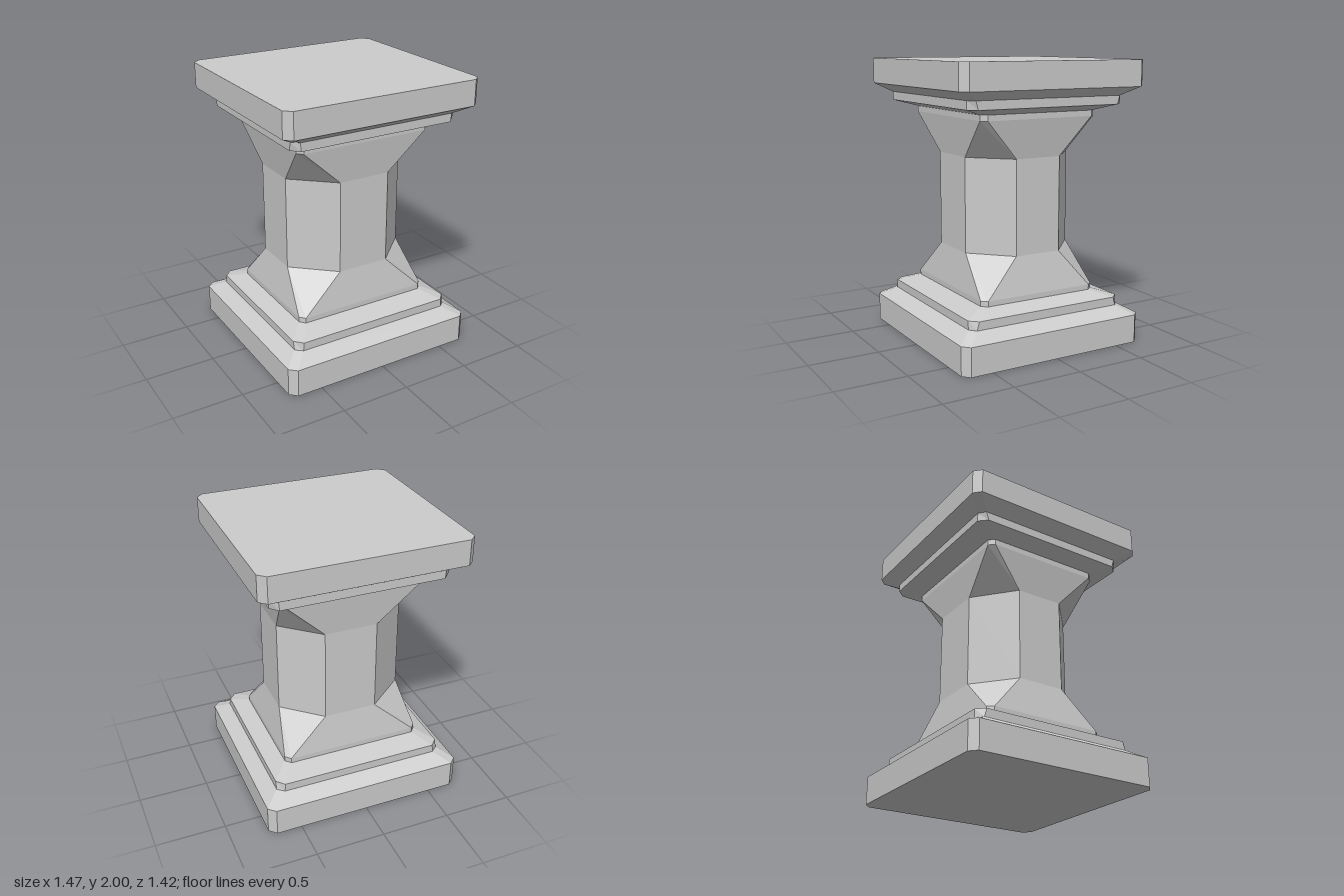
import * as THREE from 'three';

// Chamfered-rectangle ring: half sizes hx, hz; flat faces reach ix, iz (shifted by sx, sz)
function ring([y, hx, hz, ix, iz, sx = 0, sz = 0]) {
  return [
    [hx, iz + sz], [ix + sx, hz], [-ix + sx, hz], [-hx, iz + sz],
    [-hx, -iz + sz], [-ix + sx, -hz], [ix + sx, -hz], [hx, -iz + sz],
  ].map(([x, z]) => new THREE.Vector3(x, y, z));
}

// Skin a stack of rings, listed from bottom to top, with optional end caps
function loft(levels, capBottom, capTop) {
  const rings = levels.map(ring);
  const points = [];
  for (let k = 0; k < rings.length - 1; k++) {
    const lo = rings[k], hi = rings[k + 1];
    for (let i = 0; i < 8; i++) {
      const j = (i + 1) % 8;
      points.push(lo[i], hi[i], hi[j], lo[i], hi[j], lo[j]);
    }
  }
  const bottom = rings[0], top = rings[rings.length - 1];
  for (let i = 1; i < 7; i++) {
    if (capBottom) points.push(bottom[0], bottom[i], bottom[i + 1]);
    if (capTop) points.push(top[0], top[i + 1], top[i]);
  }
  const geometry = new THREE.BufferGeometry().setFromPoints(points);
  geometry.computeVertexNormals();
  return geometry;
}

export function createModel() {
  const group = new THREE.Group();
  const material = new THREE.MeshStandardMaterial({ color: 0xcccccc, flatShading: true });
  const add = (name, levels, capBottom = false, capTop = false) => {
    const mesh = new THREE.Mesh(loft(levels, capBottom, capTop), material);
    mesh.name = name;
    group.add(mesh);
  };

  // Cross-section sizes shared by the two mirrored ends
  const slab = [0.733, 0.708, 0.682, 0.66];
  const stepOuter = [0.628, 0.6, 0.58, 0.56];
  const stepInner = [0.628, 0.6, 0.575, 0.543];
  const neck = [0.51, 0.45, 0.475, 0.41];
  const column = [0.462, 0.416, 0.19, 0.172, 0.01, -0.008];

  const plinth = [[0, ...slab], [0.202, ...slab]];
  const moulding = [
    [0.202, ...slab], [0.264, ...stepOuter], [0.324, ...stepInner], [0.371, ...neck],
  ];
  const flip = (levels) => levels.map(([y, ...size]) => [2 - y, ...size]).reverse();

  // Base
  add('basePlinth', plinth, true, false);
  add('baseMoulding', moulding);

  // Shaft: square necks flaring into an eight-sided column
  const flare = [[0.371, ...neck], [0.408, ...neck], [0.676, ...column]];
  add('lowerFlare', flare);
  add('shaft', [[0.676, ...column], [1.344, ...column]]);
  add('upperFlare', [[1.344, ...column], [1.613, ...neck], [1.653, ...neck]]);

  // Capital
  const upper = flip(moulding);
  upper[0][0] = 1.653;
  upper[1][0] = 1.696;
  upper[2][0] = 1.756;
  upper[3][0] = 1.818;
  add('capitalMoulding', upper);
  add('capitalSlab', [[1.818, ...slab], [2, ...slab]], false, true);

  return group;
}
